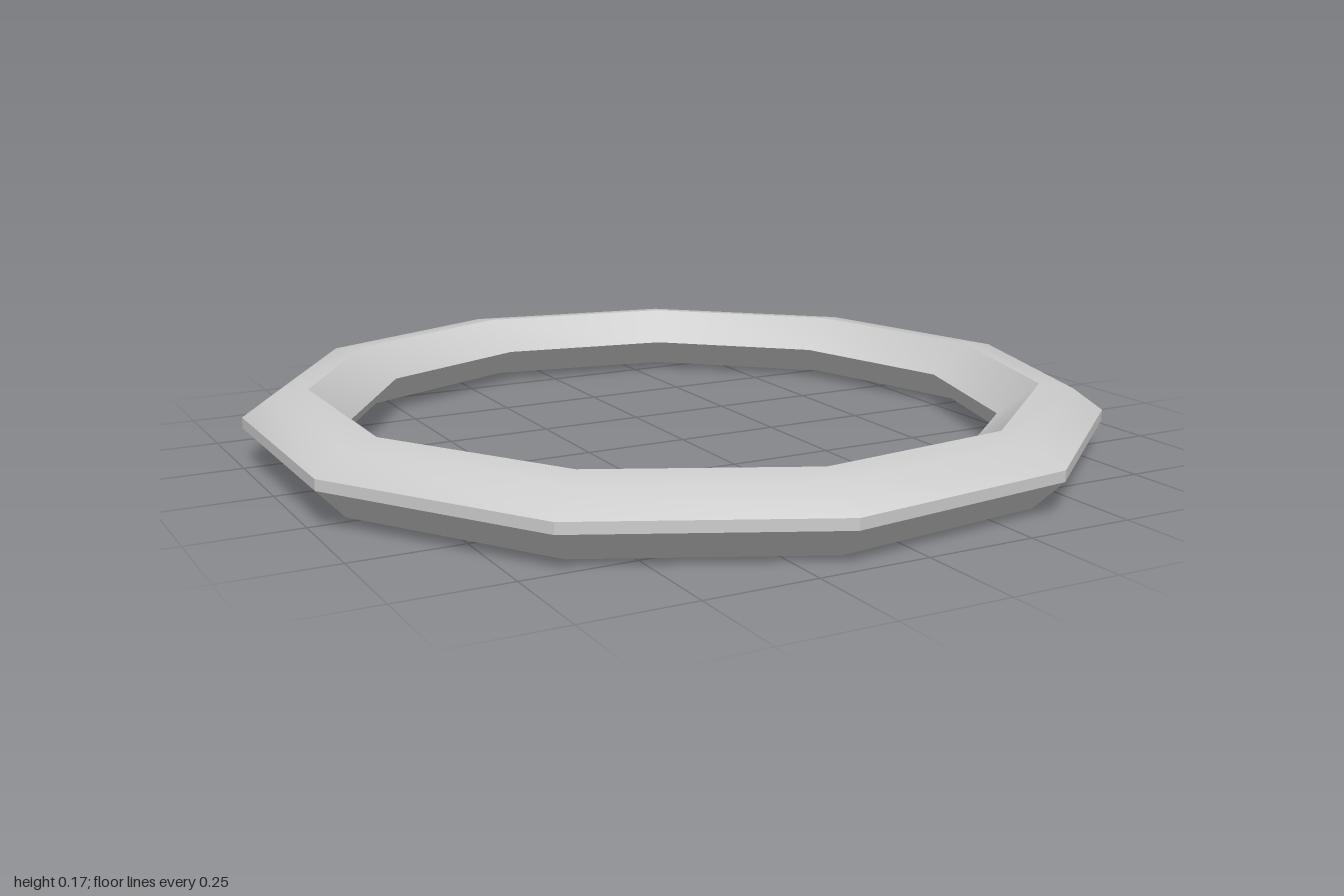
import * as THREE from 'three';
import { toCreasedNormals } from 'three/addons/utils/BufferGeometryUtils.js';

export function createModel() {
  const model = new THREE.Group();
  model.name = 'ringModel';

  // Closed cross-section (radius, height), counter-clockwise from the outer rim
  const profile = [
    [1.01, 0.0], [1.01, 0.025],      // narrow outer rim
    [0.94, 0.075], [0.86, 0.085],    // upper bevel and top
    [0.765, 0.01],                   // inner edge
    [0.826, -0.06], [0.94, -0.07],   // underside
    [1.01, 0.0],
  ].map(([r, y]) => new THREE.Vector2(r, y));

  // Eleven-sided ring with one corner on +x
  const lathe = new THREE.LatheGeometry(profile, 11, Math.PI / 2);
  const geometry = toCreasedNormals(lathe, THREE.MathUtils.degToRad(31));

  const ring = new THREE.Mesh(geometry, new THREE.MeshStandardMaterial({ color: 0xcccccc }));
  ring.name = 'ring';
  ring.position.set(-0.02, 0.078, 0);
  ring.rotation.z = -0.008; // slight lean towards +x
  model.add(ring);

  return model;
}
